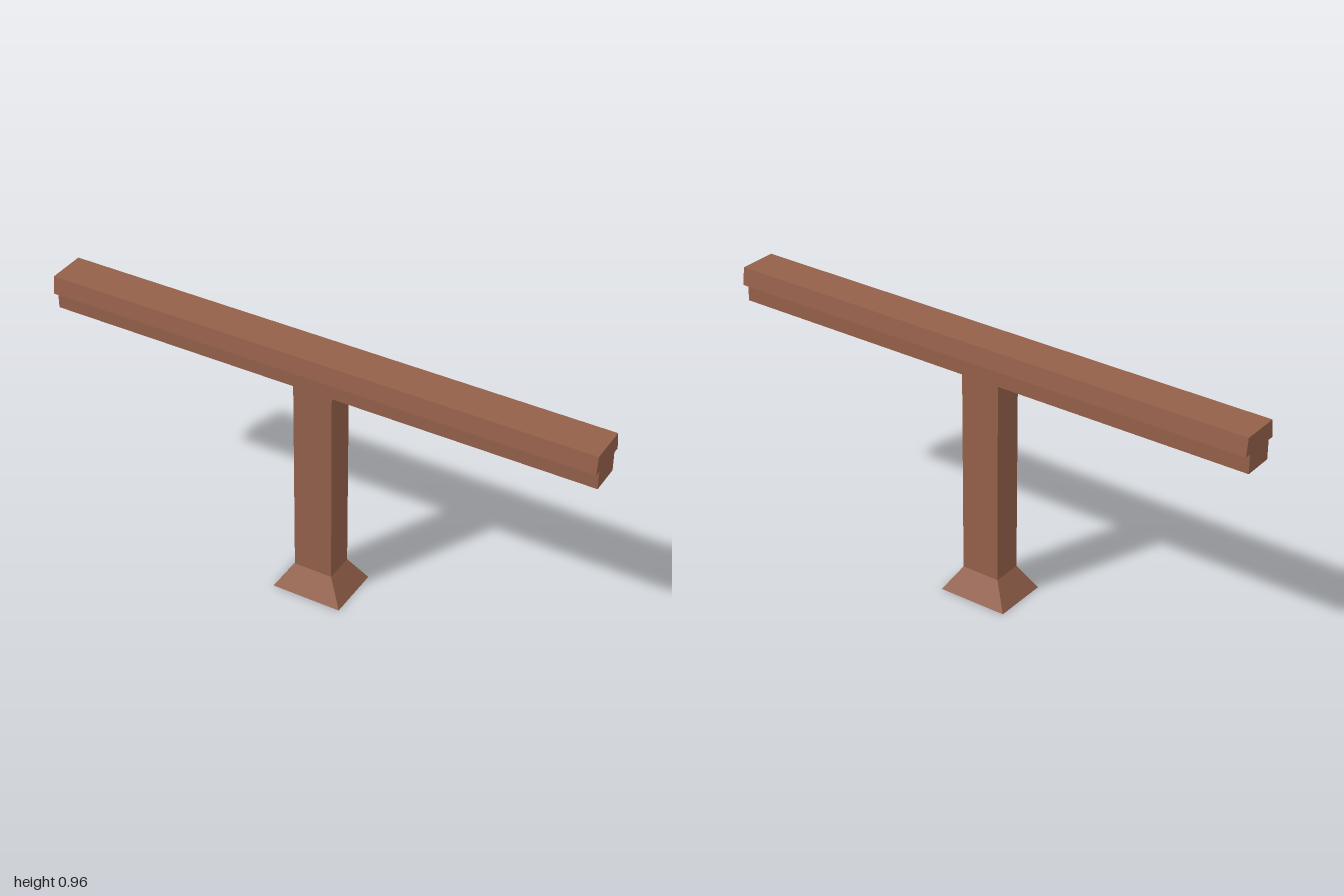
import * as THREE from 'three';

// Box from y0 to y1 whose bottom half-sizes (bx, bz) taper to top half-sizes (tx, tz)
function taperedBox(name, material, y0, y1, [bx, bz], [tx, tz]) {
  const geometry = new THREE.BoxGeometry(2, 1, 2);
  const p = geometry.attributes.position;
  for (let i = 0; i < p.count; i++) {
    const top = p.getY(i) > 0;
    p.setXYZ(i, p.getX(i) * (top ? tx : bx), top ? y1 : y0, p.getZ(i) * (top ? tz : bz));
  }
  geometry.computeVertexNormals();
  const mesh = new THREE.Mesh(geometry, material);
  mesh.name = name;
  return mesh;
}

export function createModel() {
  const group = new THREE.Group();
  group.name = 'railingSection';
  const wood = new THREE.MeshStandardMaterial({ color: 0x94604a });
  wood.name = 'brown wood';

  // Flared foot and straight post
  group.add(taperedBox('foot', wood, 0, 0.09, [0.13, 0.103], [0.072, 0.055]));
  group.add(taperedBox('post', wood, 0.09, 0.832, [0.072, 0.055], [0.072, 0.055]));

  // Handrail: narrow beam under a wider cap with sloping sides, as one profile run along x
  const half = [[0.055, 0.832], [0.055, 0.9], [0.079, 0.9], [0.07, 0.963]];
  const outline = [...half, ...half.map(([z, y]) => [-z, y]).reverse()];
  const profile = new THREE.Shape(outline.map(([z, y]) => new THREE.Vector2(z, y)));
  const railGeometry = new THREE.ExtrudeGeometry(profile, { depth: 2, bevelEnabled: false });
  railGeometry.translate(0, 0, -1).rotateY(Math.PI / 2);
  const rail = new THREE.Mesh(railGeometry, wood);
  rail.name = 'handrail';
  group.add(rail);

  return group;
}
